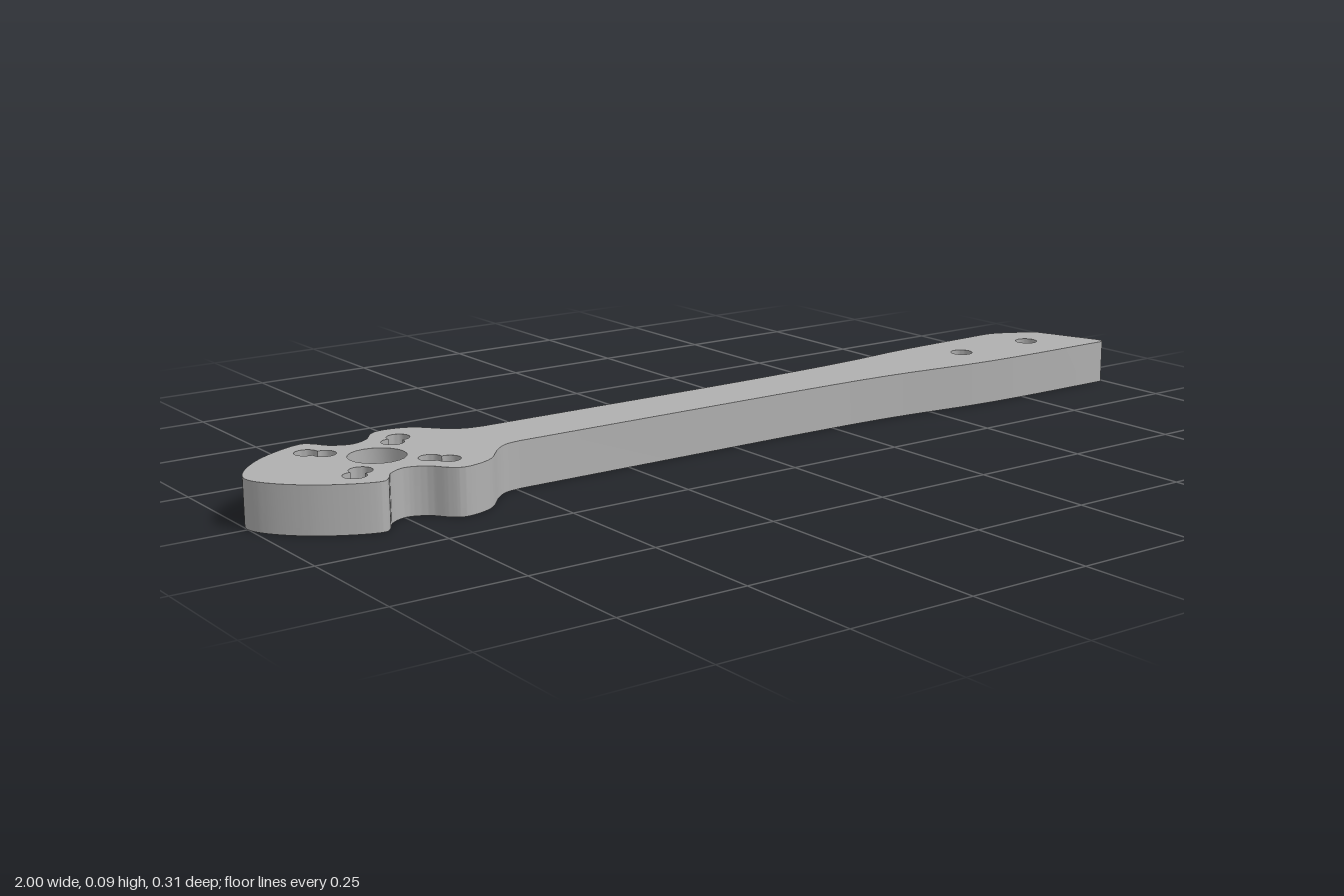
import * as THREE from 'three';
import { toCreasedNormals } from 'three/addons/utils/BufferGeometryUtils.js';

const HEIGHT = 0.09;
const HUB = { x: -0.747, y: 0.003 };

const v = (list) => list.map(([x, y]) => new THREE.Vector2(x, y));

// Round bolt hole
function roundHole(x, y, r) {
  const p = new THREE.Path();
  p.absarc(x, y, r, 0, Math.PI * 2, true);
  return p;
}

// Two overlapping circles along a diagonal from the hub
function doubleHole(angle) {
  const r = 0.0215, near = 0.097, far = 0.131;
  const a = Math.acos((far - near) / 2 / r);
  const at = (d) => [HUB.x + d * Math.cos(angle), HUB.y + d * Math.sin(angle)];
  const p = new THREE.Path();
  p.absarc(...at(far), r, angle - Math.PI + a, angle + Math.PI - a, false);
  p.absarc(...at(near), r, angle + a, angle + Math.PI * 2 - a, false);
  return p;
}

export function createModel() {
  const group = new THREE.Group();
  group.name = 'motorArm';
  const grey = new THREE.MeshStandardMaterial({ color: 0xb0b0b0 });
  grey.name = 'plate grey';

  // Outline of the arm, drawn as (x, -z)
  const shape = new THREE.Shape();
  shape.moveTo(-0.49, 0.073);
  // Rear lobes, rounded motor end and front lobes
  shape.splineThru(v([
    [-0.525, 0.08], [-0.555, 0.1], [-0.59, 0.138], [-0.62, 0.154], [-0.66, 0.158],
    [-0.685, 0.145], [-0.71, 0.115], [-0.747, 0.101], [-0.782, 0.117], [-0.803, 0.146],
    [-0.822, 0.156], [-0.87, 0.139], [-0.93, 0.102], [-0.98, 0.05], [-1, 0.002],
    [-0.98, -0.046], [-0.93, -0.098], [-0.87, -0.135], [-0.822, -0.152], [-0.803, -0.142],
    [-0.782, -0.113], [-0.747, -0.097], [-0.71, -0.111], [-0.685, -0.141], [-0.66, -0.156],
    [-0.62, -0.148], [-0.59, -0.13], [-0.555, -0.09], [-0.525, -0.067], [-0.49, -0.06],
  ]));
  // Front edge, widening towards the frame end
  shape.lineTo(0.1, -0.06);
  shape.splineThru(v([[0.3, -0.063], [0.43, -0.07], [0.6, -0.088], [0.7, -0.094], [0.8, -0.096]]));
  // Slanted end
  shape.lineTo(0.985, -0.096);
  shape.quadraticCurveTo(1.003, -0.096, 0.996, -0.072);
  shape.lineTo(0.951, 0.052);
  shape.quadraticCurveTo(0.946, 0.068, 0.93, 0.076);
  shape.lineTo(0.88, 0.102);
  shape.quadraticCurveTo(0.855, 0.115, 0.825, 0.113);
  // Rear edge
  shape.lineTo(0.65, 0.107);
  shape.splineThru(v([[0.55, 0.101], [0.43, 0.088], [0.3, 0.08], [0.15, 0.075], [0, 0.073]]));
  shape.closePath();

  // Shaft opening, motor screw slots and frame bolt holes
  shape.holes.push(roundHole(HUB.x, HUB.y, 0.053));
  for (let i = 0; i < 4; i++) shape.holes.push(doubleHole(Math.PI / 4 + i * Math.PI / 2));
  for (const x of [0.667, 0.861]) shape.holes.push(roundHole(x, 0.008, 0.023));

  const plate = new THREE.ExtrudeGeometry(shape, { depth: HEIGHT, bevelEnabled: false, curveSegments: 10 });
  plate.rotateX(-Math.PI / 2);
  const mesh = new THREE.Mesh(toCreasedNormals(plate, 0.6), grey);
  mesh.name = 'armPlate';
  group.add(mesh);
  return group;
}
